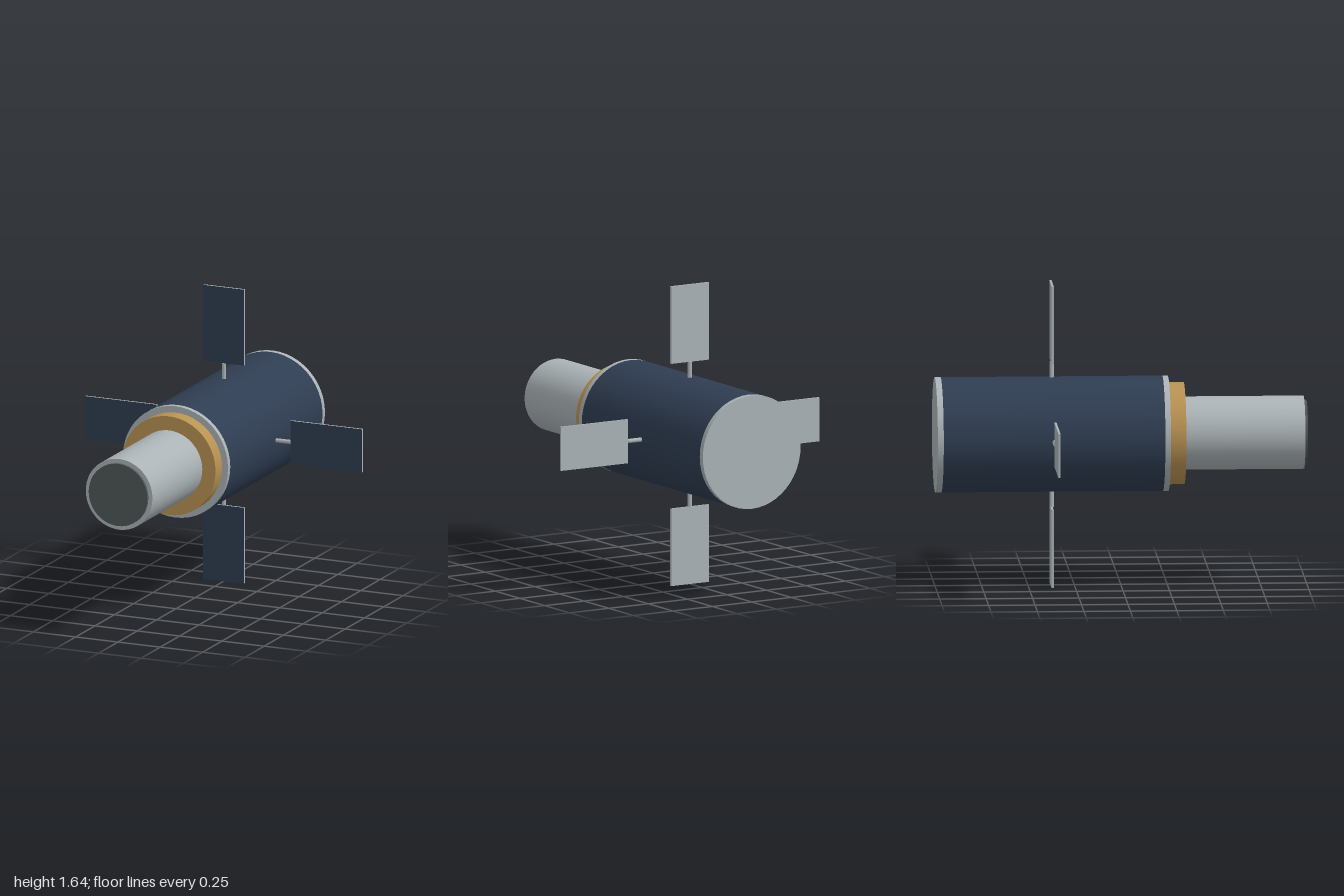
import * as THREE from 'three';

const material = (name, color) => {
  const m = new THREE.MeshStandardMaterial({ color });
  m.name = name;
  return m;
};

export function createModel() {
  const silver = material('silver', 0xabb3b6);
  const navy = material('navy', 0x2f3d52);
  const gold = material('gold', 0xb99253);
  const dark = material('dark glass', 0x4e5658);

  const model = new THREE.Group();
  model.name = 'spaceTelescope';
  const axisY = 0.819;

  // Cylinder lying along z, between two z positions
  const drum = (name, radius, z0, z1, mat) => {
    const geometry = new THREE.CylinderGeometry(radius, radius, z1 - z0, 48);
    geometry.rotateX(Math.PI / 2);
    const mesh = new THREE.Mesh(geometry, mat);
    mesh.name = name;
    mesh.position.set(0, axisY, (z0 + z1) / 2);
    model.add(mesh);
  };

  // Main hull with an end plate at each end
  drum('rearPlate', 0.31, -1, -0.968, silver);
  drum('hull', 0.31, -0.968, 0.225, navy);
  drum('frontPlate', 0.31, 0.225, 0.255, silver);

  // Collar, barrel and lens
  drum('collar', 0.275, 0.255, 0.34, gold);
  drum('barrel', 0.197, 0.34, 0.985, silver);
  drum('lens', 0.173, 0.985, 1, dark);

  // Four panels on struts, with solar cells on the front face only
  const strutGeometry = new THREE.CylinderGeometry(0.012, 0.012, 0.105, 8);
  const panelGeometry = new THREE.BoxGeometry(0.24, 0.423, 0.012);
  const panelMaterials = [silver, silver, silver, silver, navy, silver];
  ['top', 'right', 'bottom', 'left'].forEach((side, i) => {
    const arm = new THREE.Group();
    arm.name = side + 'PanelArm';
    arm.position.set(0, axisY, -0.372);
    arm.rotation.z = i * Math.PI / 2;

    const strut = new THREE.Mesh(strutGeometry, silver);
    strut.name = 'strut';
    strut.position.y = 0.3435;

    const panel = new THREE.Mesh(panelGeometry, panelMaterials);
    panel.name = 'solarPanel';
    panel.position.y = 0.6075;

    arm.add(strut, panel);
    model.add(arm);
  });

  return model;
}
